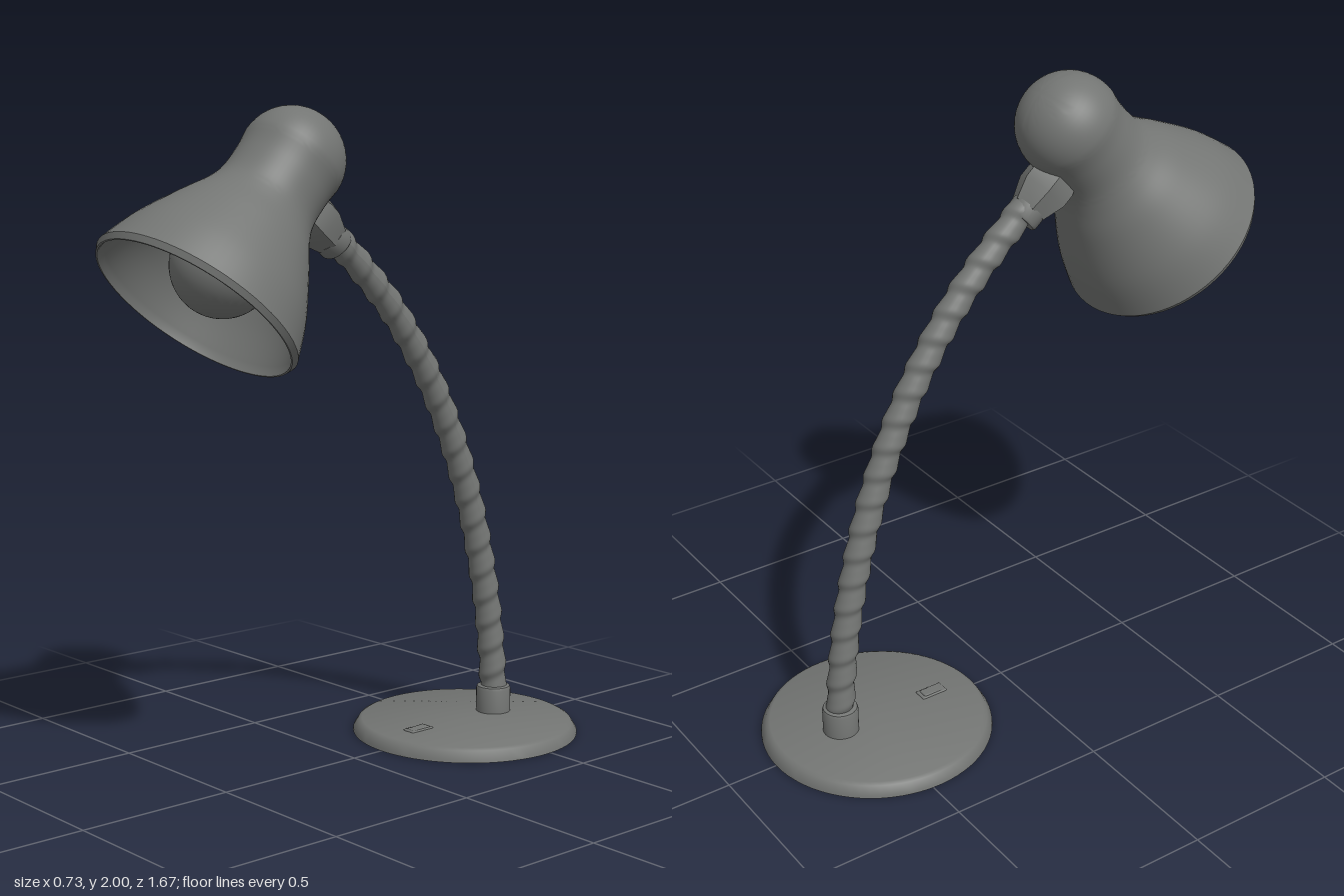
import * as THREE from 'three';
import { RoundedBoxGeometry } from 'three/addons/geometries/RoundedBoxGeometry.js';
import { toCreasedNormals } from 'three/addons/utils/BufferGeometryUtils.js';

const material = new THREE.MeshStandardMaterial({ color: 0x737573 });

function add(parent, name, geometry) {
  const mesh = new THREE.Mesh(geometry, material);
  mesh.name = name;
  parent.add(mesh);
  return mesh;
}

// Turned part: points run [radius, height] from bottom to top
function turned(points, segments = 48) {
  const lathe = new THREE.LatheGeometry(points.map(([r, y]) => new THREE.Vector2(r, y)), segments);
  return toCreasedNormals(lathe, 0.6);
}

// Bell outline from the rim up to the crown; inset shrinks it for the inner wall
function bellOutline(inset) {
  const flare = new THREE.SplineCurve([
    [0.325, -0.528], [0.287, -0.415], [0.221, -0.282], [0.176, -0.2],
    [0.156, -0.14], [0.153, -0.06], [0.159, 0],
  ].map(([r, y]) => new THREE.Vector2(r - inset, y)));
  const points = flare.getPoints(36).map((p) => [p.x, p.y]);
  const r = 0.159 - inset;
  for (let i = 1; i <= 14; i++) {
    const a = (i / 14) * Math.PI / 2;
    points.push([i === 14 ? 0 : r * Math.cos(a), r * Math.sin(a)]);
  }
  return points;
}

// Shade: inner wall down, bevelled rim, then the outer wall up; slightly wider in x at the rim
function shadeGeometry() {
  const rim = [[0.311, -0.546], [0.316, -0.546]];
  const geometry = turned([...bellOutline(0.016).reverse(), ...rim, ...bellOutline(0)], 64);
  const pos = geometry.attributes.position;
  for (let i = 0; i < pos.count; i++) {
    const t = THREE.MathUtils.clamp(-pos.getY(i) / 0.54, 0, 1);
    pos.setX(i, pos.getX(i) * (1 + 0.04 * t));
  }
  return geometry;
}

// Flexible neck: a tube with a shallow helical ridge
function neckGeometry(curve) {
  const rings = 400, sides = 24, turns = 20;
  const geometry = new THREE.TubeGeometry(curve, rings, 0.0425, sides);
  const pos = geometry.attributes.position;
  const normal = geometry.attributes.normal;
  for (let i = 0; i <= rings; i++) {
    for (let j = 0; j <= sides; j++) {
      const k = i * (sides + 1) + j;
      const phase = 2 * Math.PI * ((i / rings) * turns + j / sides);
      const h = 0.0035 * Math.sin(phase + 0.5 * Math.sin(phase));
      pos.setXYZ(k, pos.getX(k) + normal.getX(k) * h,
        pos.getY(k) + normal.getY(k) * h, pos.getZ(k) + normal.getZ(k) * h);
    }
  }
  geometry.computeVertexNormals();
  return geometry;
}

export function createModel() {
  const lamp = new THREE.Group();
  lamp.name = 'deskLamp';

  // Round foot with bevelled edge
  add(lamp, 'base', turned([
    [0, 0], [0.363, 0], [0.362, 0.008], [0.346, 0.034], [0.334, 0.04], [0, 0.04],
  ], 72)).position.z = -0.475;

  // Rocker switch in its frame
  add(lamp, 'switchFrame', new RoundedBoxGeometry(0.046, 0.01, 0.09, 2, 0.004)).position.set(0, 0.039, -0.27);
  const rocker = add(lamp, 'switchRocker', new RoundedBoxGeometry(0.034, 0.01, 0.07, 2, 0.004));
  rocker.position.set(0, 0.0415, -0.27);
  rocker.rotation.x = 0.05;

  // Collar where the neck enters the foot
  add(lamp, 'baseCollar', turned([
    [0, 0.03], [0.056, 0.03], [0.056, 0.115], [0.053, 0.124], [0.046, 0.127], [0, 0.127],
  ], 32)).position.z = -0.605;

  // Curved neck
  const path = new THREE.CatmullRomCurve3([
    [0.09, -0.605], [0.2, -0.598], [0.4, -0.572], [0.6, -0.53], [0.8, -0.472],
    [1.0, -0.393], [1.2, -0.287], [1.4, -0.143], [1.6, 0.06], [1.63, 0.1],
  ].map(([y, z]) => new THREE.Vector3(0, y, z)));
  add(lamp, 'neck', neckGeometry(path));

  // Joint between neck and shade: round ferrule and faceted tapered body
  const joint = new THREE.Group();
  joint.name = 'shadeJoint';
  joint.position.set(0, 1.598, 0.078);
  joint.quaternion.setFromUnitVectors(
    new THREE.Vector3(0, 1, 0), new THREE.Vector3(0, 0.66, 0.75).normalize());
  lamp.add(joint);
  add(joint, 'jointFerrule', turned([
    [0, -0.015], [0.05, -0.015], [0.054, -0.008], [0.054, 0.03], [0, 0.03],
  ], 32));
  add(joint, 'jointBody', turned([
    [0, 0.024], [0.058, 0.024], [0.082, 0.09], [0.082, 0.13], [0.07, 0.17], [0, 0.17],
  ], 6));

  // Head: shade, socket and bulb share one tilted axis
  const head = new THREE.Group();
  head.name = 'head';
  head.position.set(0, 1.841, 0.24);
  head.rotation.x = -0.716;
  lamp.add(head);
  add(head, 'shade', shadeGeometry());
  add(head, 'socket', new THREE.CylinderGeometry(0.07, 0.07, 0.2, 32)).position.y = -0.05;
  const bulb = [];
  for (let i = 0; i <= 20; i++) {
    const a = -Math.PI / 2 + (i / 20) * Math.PI * 0.78;
    bulb.push([i === 0 ? 0 : 0.152 * Math.cos(a), -0.387 + 0.152 * Math.sin(a)]);
  }
  bulb.push([0.075, -0.22], [0.06, -0.18], [0.06, -0.12]);
  add(head, 'bulb', turned(bulb, 40));

  return lamp;
}
